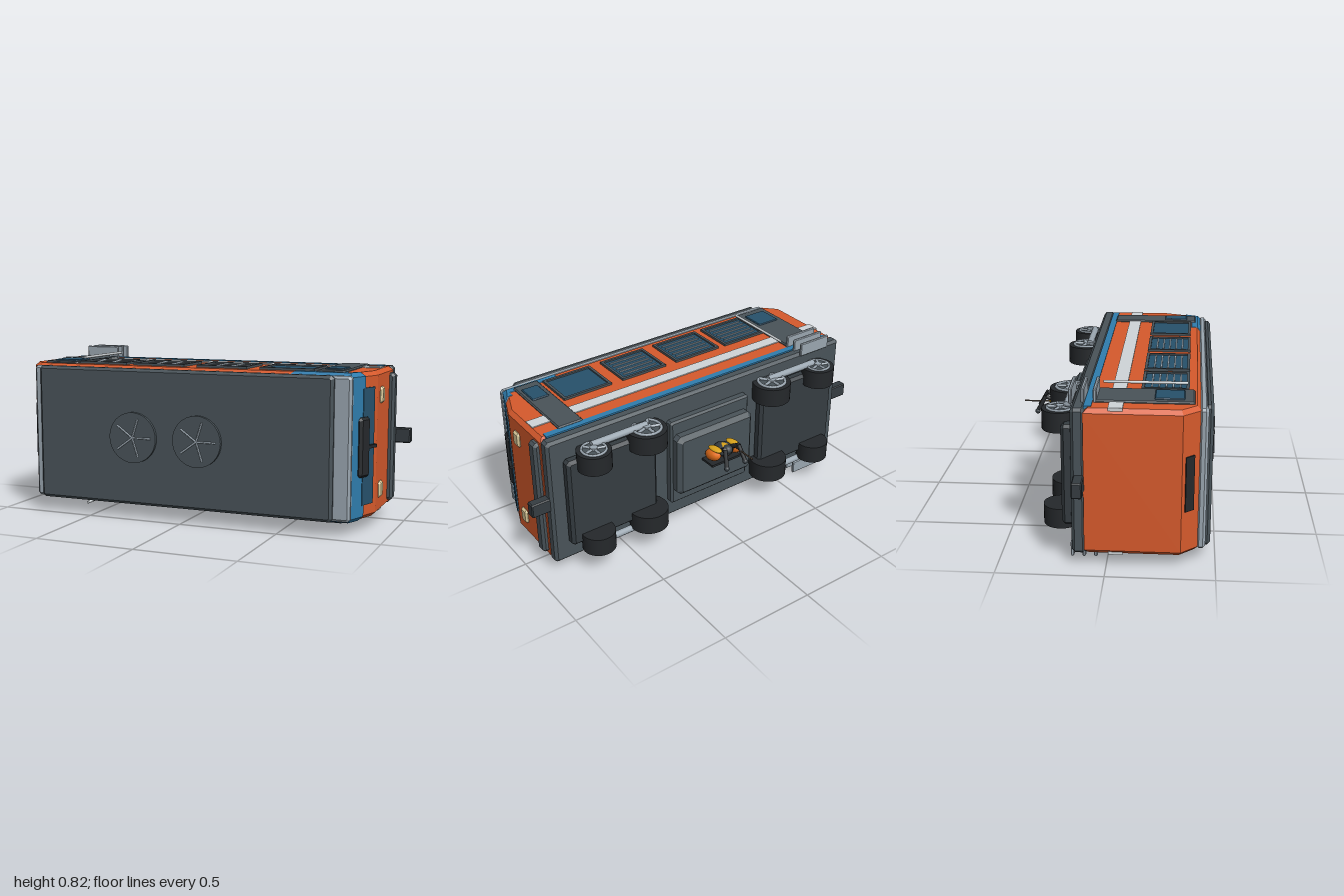
import * as THREE from 'three';

const MID = 0.415; // centre of the vehicle's width, which runs along y
const mats = {};
const mat = (c) => (mats[c] ??= new THREE.MeshStandardMaterial({ color: c }));
const ORANGE = 0xd65a2c, BLUE = 0x2f7dae, DARK = 0x495359, DARKER = 0x353c41, BLACK = 0x25282b;
const GLASS = 0x27516b, STEEL = 0x9aa6b0, WHITE = 0xd0d5d8, CREAM = 0xdccb9a, YELLOW = 0xe0a81c, FLAME = 0xe8701c;

export function createModel() {
  const model = new THREE.Group();
  model.name = 'locomotive';

  const add = (name, geo, color, parent = model) => {
    const m = new THREE.Mesh(geo, mat(color));
    m.name = name;
    parent.add(m);
    return m;
  };

  // Box given by its limits, with optional chamfered edges
  function box(name, color, [x0, x1], [ya, yb], [z0, z1], c = 0, parent = model) {
    const y0 = Math.min(ya, yb), y1 = Math.max(ya, yb);
    let geo;
    if (c) {
      const s = new THREE.Shape();
      const w = (x1 - x0) / 2, h = (y1 - y0) / 2;
      const pts = [[-w + c, -h], [w - c, -h], [w, -h + c], [w, h - c], [w - c, h], [-w + c, h], [-w, h - c], [-w, -h + c]];
      s.setFromPoints(pts.map((p) => new THREE.Vector2(...p)));
      geo = new THREE.ExtrudeGeometry(s, {
        depth: z1 - z0 - 2 * c, bevelEnabled: true, bevelSize: c, bevelOffset: -c, bevelThickness: c, bevelSegments: 1,
      });
      geo.translate(0, 0, -(z1 - z0 - 2 * c) / 2);
    } else geo = new THREE.BoxGeometry(x1 - x0, y1 - y0, z1 - z0);
    const m = add(name, geo, color, parent);
    m.position.set((x0 + x1) / 2, (y0 + y1) / 2, (z0 + z1) / 2);
    return m;
  }

  // Side profile in x and z, extruded across the width
  function prism(name, color, pts, width, c) {
    const s = new THREE.Shape(pts.map((p) => new THREE.Vector2(...p)));
    const depth = width - 2 * c;
    const geo = new THREE.ExtrudeGeometry(s, {
      depth, bevelEnabled: true, bevelSize: c, bevelOffset: -c, bevelThickness: c, bevelSegments: 1,
    });
    geo.translate(0, 0, -depth / 2).rotateX(Math.PI / 2);
    add(name, geo, color).position.y = MID;
  }

  // Cylinder between two points
  function rod(name, color, a, b, r, sides = 10, parent = model, r2 = r) {
    const p = new THREE.Vector3(...a), q = new THREE.Vector3(...b);
    const d = q.clone().sub(p);
    const m = add(name, new THREE.CylinderGeometry(r2, r, d.length(), sides), color, parent);
    m.position.copy(p).add(q).multiplyScalar(0.5);
    m.quaternion.setFromUnitVectors(new THREE.Vector3(0, 1, 0), d.normalize());
    return m;
  }

  const both = (f) => [1, -1].forEach((s) => f(s, (a, b) => [MID + s * a, MID + s * b]));
  const across = (h) => [MID - h, MID + h];

  // Body shell and painted nose
  prism('body', ORANGE, [[-0.905, -0.1], [0.905, -0.1], [0.905, 0.22], [0.83, 0.42], [-0.83, 0.42], [-0.905, 0.34]], 0.7, 0.02);
  prism('nosePaint', BLUE, [[0.53, 0.35], [0.8, 0.35], [0.8, 0.32], [0.872, 0.32], [0.834, 0.423], [0.53, 0.423]], 0.704, 0.02);

  // Roof and fans
  box('roofRim', STEEL, [-0.84, 0.84], across(0.34), [0.41, 0.452], 0.012);
  box('roofPanel', DARK, [-0.8, 0.76], across(0.342), [0.435, 0.475], 0.014);
  for (const x of [-0.26, 0.085]) {
    rod('fan', DARK, [x, MID, 0.465], [x, MID, 0.49], 0.127, 32);
    for (let i = 0; i < 5; i++) {
      const a = (i * Math.PI * 2) / 5;
      rod('fanBlade', STEEL, [x, MID, 0.49], [x + 0.1 * Math.cos(a), MID + 0.1 * Math.sin(a), 0.49], 0.005, 6);
    }
  }

  // Sloped cab windows at both ends
  const slope = -Math.atan(0.375);
  const noseX = (z) => 0.905 - (z - 0.22) * 0.375;
  box('windscreen', GLASS, [noseX(0.293) - 0.007, noseX(0.293) + 0.007], across(0.278), [0.248, 0.338]).rotation.y = slope;
  box('windscreenBox', BLACK, [noseX(0.333) - 0.012, noseX(0.333) + 0.022], across(0.142), [0.295, 0.372], 0.012).rotation.y = slope;
  box('wiper', BLACK, [noseX(0.275), noseX(0.275) + 0.02], across(0.008), [0.25, 0.31]).rotation.y = slope;
  box('rearWindow', BLACK, [-0.882, -0.862], across(0.132), [0.345, 0.395]).rotation.y = 0.72;

  // Front lamps and bumper
  for (const y of [0.185, 0.645]) box('headlight', CREAM, [0.89, 0.918], [y - 0.04, y + 0.04], [0.115, 0.172], 0.01);
  box('bumper', DARK, [0.88, 0.932], across(0.32), [-0.085, -0.02], 0.013);

  // Side dressing, mirrored
  both((s, y) => {
    box('sillStripe', BLUE, [-0.87, 0.87], y(0.33, 0.353), [-0.1, -0.065]);
    box('sideStripe', WHITE, [-0.895, 0.885], y(0.33, 0.355), [0.01, 0.075]);
    box('rearDoor', DARK, [-0.81, -0.62], y(0.33, 0.36), [-0.06, 0.39], 0.006);
    box('frontDoor', DARK, [0.655, 0.79], y(0.33, 0.36), [-0.07, 0.39], 0.006);
    box('rearDoorWindow', GLASS, [-0.78, -0.65], y(0.35, 0.366), [0.21, 0.345], 0.004);
    box('frontDoorWindow', GLASS, [0.68, 0.77], y(0.35, 0.366), [0.215, 0.34], 0.004);
    [[-0.615, -0.36], [-0.305, -0.04], [0.04, 0.29], [0.37, 0.63]].forEach(([a, b], i) => {
      box('sideWindow', GLASS, [a, b], y(0.33, 0.354), [0.145, 0.36]);
      for (const z of [0.15, 0.357]) box('windowFrame', DARK, [a, b], y(0.33, 0.362), [z - 0.007, z + 0.007]);
      for (const x of [a, b]) box('windowFrame', DARK, [x - 0.007, x + 0.007], y(0.33, 0.362), [0.143, 0.364]);
      if (i < 3) for (let k = 0; k < 5; k++) {
        const z = 0.19 + k * 0.033;
        box('louvre', STEEL, [a + 0.025, b - 0.025], y(0.35, 0.36), [z - 0.004, z + 0.004]);
      }
    });
    const ry = MID + s * 0.381;
    rod('handrail', WHITE, [-0.595, ry, -0.033], [-0.595, ry, 0.358], 0.007);
    for (const z of [-0.055, -0.11, -0.165]) box('step', STEEL, [-0.81, -0.62], y(0.34, 0.412), [z - 0.008, z + 0.008], 0.004);
  });

  // Underframe, couplers, tank
  box('frame', DARK, [-0.905, 0.905], across(0.35), [-0.157, -0.093], 0.014);
  for (const s of [-1, 1]) {
    const c = [s * 0.88, s].sort((p, q) => p - q);
    box('coupler', DARKER, c, across(0.037), [-0.145, -0.097], 0.005);
    const b = [s * 0.33, s * 0.83].sort((p, q) => p - q);
    box('bogie', DARKER, b, across(0.245), [-0.21, -0.15], 0.015);
  }
  box('tankBase', DARK, [-0.25, 0.24], across(0.245), [-0.2, -0.15], 0.01);
  box('tank', DARK, [-0.24, 0.23], across(0.173), [-0.257, -0.17], 0.022);

  // Wheels with five-spoke hubs and side rods
  const wheels = [[-0.7, -0.225, 0.085], [-0.39, -0.212, 0.1], [0.39, -0.212, 0.1], [0.695, -0.225, 0.085]];
  both((s) => {
    for (const [x, z, r] of wheels) {
      const g = new THREE.Group();
      g.name = 'wheel';
      model.add(g);
      const at = (d, dx = 0, dz = 0) => [x + dx, MID + s * d, z + dz];
      rod('tyre', BLACK, at(0.188), at(0.285), r, 32, g);
      rod('hubDisc', DARK, at(0.28), at(0.288), r * 0.75, 32, g);
      const rim = add('rim', new THREE.TorusGeometry(r * 0.7, r * 0.08, 6, 32), STEEL, g);
      rim.position.set(...at(0.288));
      rim.rotation.x = Math.PI / 2;
      rod('hubCap', STEEL, at(0.28), at(0.298), r * 0.22, 16, g);
      for (let i = 0; i < 5; i++) {
        const a = (i * Math.PI * 2) / 5 - Math.PI / 2;
        rod('spoke', STEEL, at(0.289), at(0.289, r * 0.68 * Math.cos(a), r * 0.68 * Math.sin(a)), r * 0.09, 6, g);
      }
    }
    for (const [a, b] of [[-0.69, -0.38], [0.38, 0.69]]) {
      rod('sideRod', STEEL, [a, MID + s * 0.292, -0.195], [b, MID + s * 0.292, -0.195], 0.018, 12);
    }
  });

  // Small armoured figure under the tank
  const figure = new THREE.Group();
  figure.name = 'figure';
  model.add(figure);
  const blob = (name, color, p, scale, tilt = 0) => {
    const m = add(name, new THREE.SphereGeometry(1, 12, 8), color, figure);
    m.position.set(...p);
    m.scale.set(...scale);
    m.rotation.x = tilt;
  };
  box('figurePlate', BLACK, [-0.09, 0.09], [0.42, 0.432], [-0.345, -0.25], 0, figure);
  blob('torso', DARKER, [0, 0.485, -0.315], [0.05, 0.032, 0.055]);
  for (const x of [-0.065, 0, 0.065]) {
    blob('armourPlate', FLAME, [x, 0.474, -0.315], [0.03, 0.032, 0.055], 0.3);
    blob('armourTrim', YELLOW, [x * 0.85, 0.506, -0.32], [0.022, 0.012, 0.05], 0.1);
  }
  blob('head', DARKER, [0, 0.5, -0.35], [0.026, 0.024, 0.028]);
  for (const [x0, x1] of [[-0.03, -0.05], [0.025, 0.065]]) {
    const xm = (x0 + x1) / 2;
    rod('upperArm', BLACK, [x0, 0.5, -0.34], [xm, 0.532, -0.387], 0.011, 8, figure);
    rod('foreArm', BLACK, [xm, 0.532, -0.387], [x1, 0.455, -0.43], 0.011, 8, figure);
    blob('hand', DARKER, [x1, 0.452, -0.43], [0.014, 0.014, 0.014]);
  }
  rod('staff', 0x5a4a3c, [-0.04, 0.505, -0.35], [-0.04, 0.505, -0.5], 0.004, 6, figure);

  return model;
}
